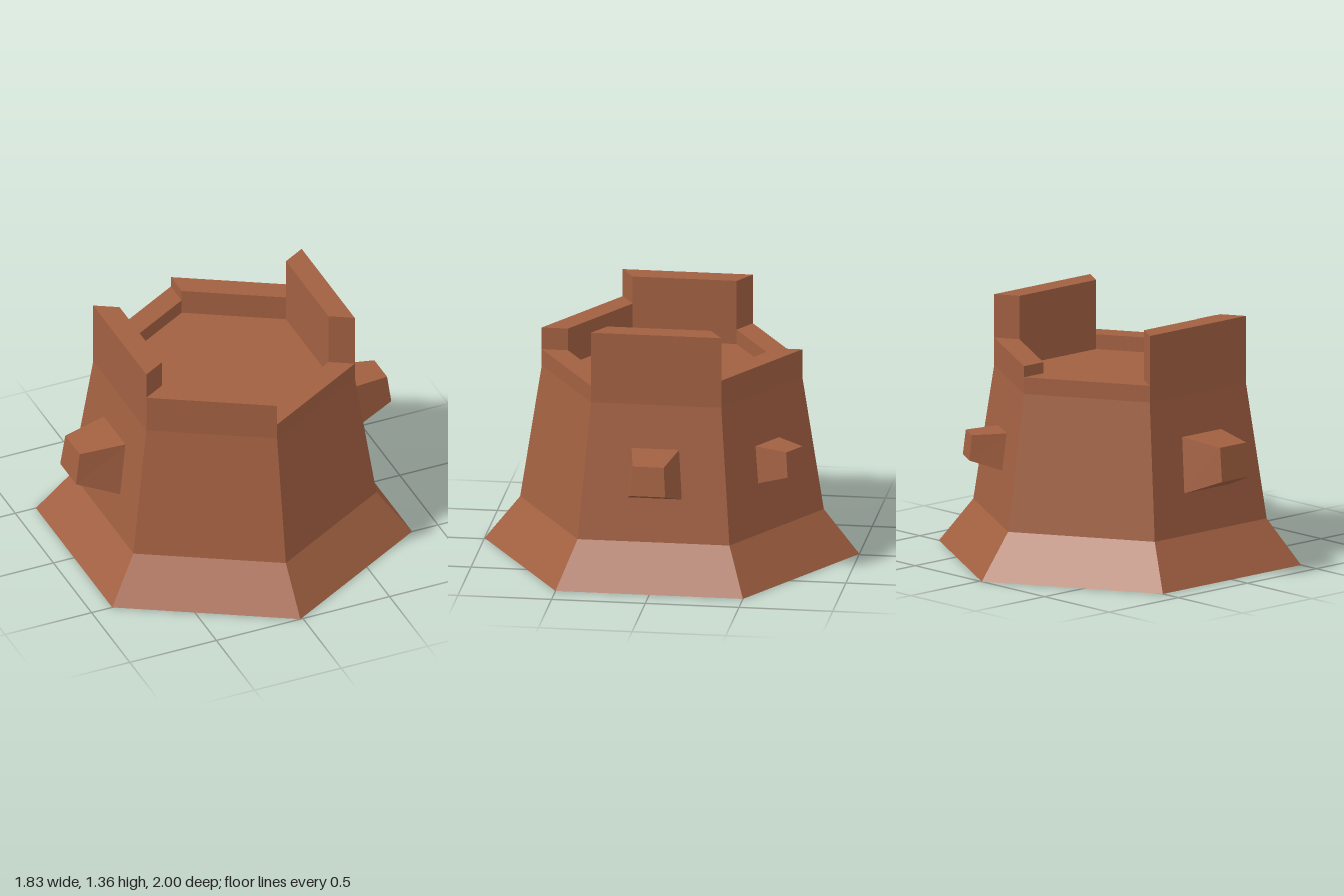
import * as THREE from 'three';

const clay = new THREE.MeshStandardMaterial({ color: 0xa26041 });
clay.name = 'clay';

// Flat facets: unshared vertices with face normals
function faceted(geometry) {
  const flat = geometry.toNonIndexed();
  flat.computeVertexNormals();
  return flat;
}

// Six-sided solid on one side of the tower. Each corner pair is
// [distance from axis, height, half width]; angle runs from +z towards +x.
function sideBlock(name, degrees, innerTop, innerBottom, outerTop, outerBottom) {
  const geometry = new THREE.BoxGeometry(2, 2, 2);
  const p = geometry.attributes.position;
  for (let i = 0; i < p.count; i++) {
    const top = p.getY(i) > 0;
    const outer = p.getZ(i) > 0;
    const [r, y, half] = outer ? (top ? outerTop : outerBottom) : (top ? innerTop : innerBottom);
    p.setXYZ(i, Math.sign(p.getX(i)) * half, y, r);
  }
  const mesh = new THREE.Mesh(faceted(geometry), clay);
  mesh.name = name;
  mesh.rotation.y = THREE.MathUtils.degToRad(degrees);
  return mesh;
}

export function createModel() {
  const model = new THREE.Group();
  model.name = 'hexagonalTower';
  const tower = new THREE.Group();
  tower.name = 'tower';
  tower.position.x = -0.015;
  model.add(tower);

  const rimOuter = 0.695, rimInner = 0.555, rimY = 1.06, floorY = 0.98;

  // Flared body, rim and sunken floor
  const profile = [
    [0, 0], [1, 0], [0.81, 0.24], [rimOuter, 0.97],
    [rimOuter, rimY], [rimInner, rimY], [rimInner, floorY], [0, floorY],
  ].map(([r, y]) => new THREE.Vector2(r, y));
  const body = new THREE.Mesh(faceted(new THREE.LatheGeometry(profile, 6)), clay);
  body.name = 'body';
  tower.add(body);

  // Mitred parapet walls of different heights
  const apothem = Math.cos(Math.PI / 6);
  const walls = [
    ['leftParapet', 90, 1.355],
    ['rightParapet', -90, 1.33],
    ['frontRightParapet', -30, 1.18],
    ['backLeftParapet', 150, 1.12],
  ];
  for (const [name, angle, top] of walls) {
    const corner = (r, y) => [r * apothem, y, r / 2];
    tower.add(sideBlock(name, angle,
      corner(rimInner, top), corner(rimInner, rimY),
      corner(rimOuter, top), corner(rimOuter, rimY)));
  }

  // Tapered blocks jutting from the sides
  tower.add(
    sideBlock('leftBlock', 90,
      [0.615, 0.738, 0.13], [0.65, 0.467, 0.15], [0.905, 0.72, 0.083], [0.925, 0.563, 0.093]),
    sideBlock('rightBlock', -90,
      [0.61, 0.757, 0.145], [0.655, 0.452, 0.167], [0.875, 0.73, 0.094], [0.9, 0.55, 0.104]),
    sideBlock('backLeftBlock', 150,
      [0.62, 0.703, 0.104], [0.65, 0.5, 0.115], [0.82, 0.695, 0.07], [0.835, 0.56, 0.077]),
  );

  return model;
}
